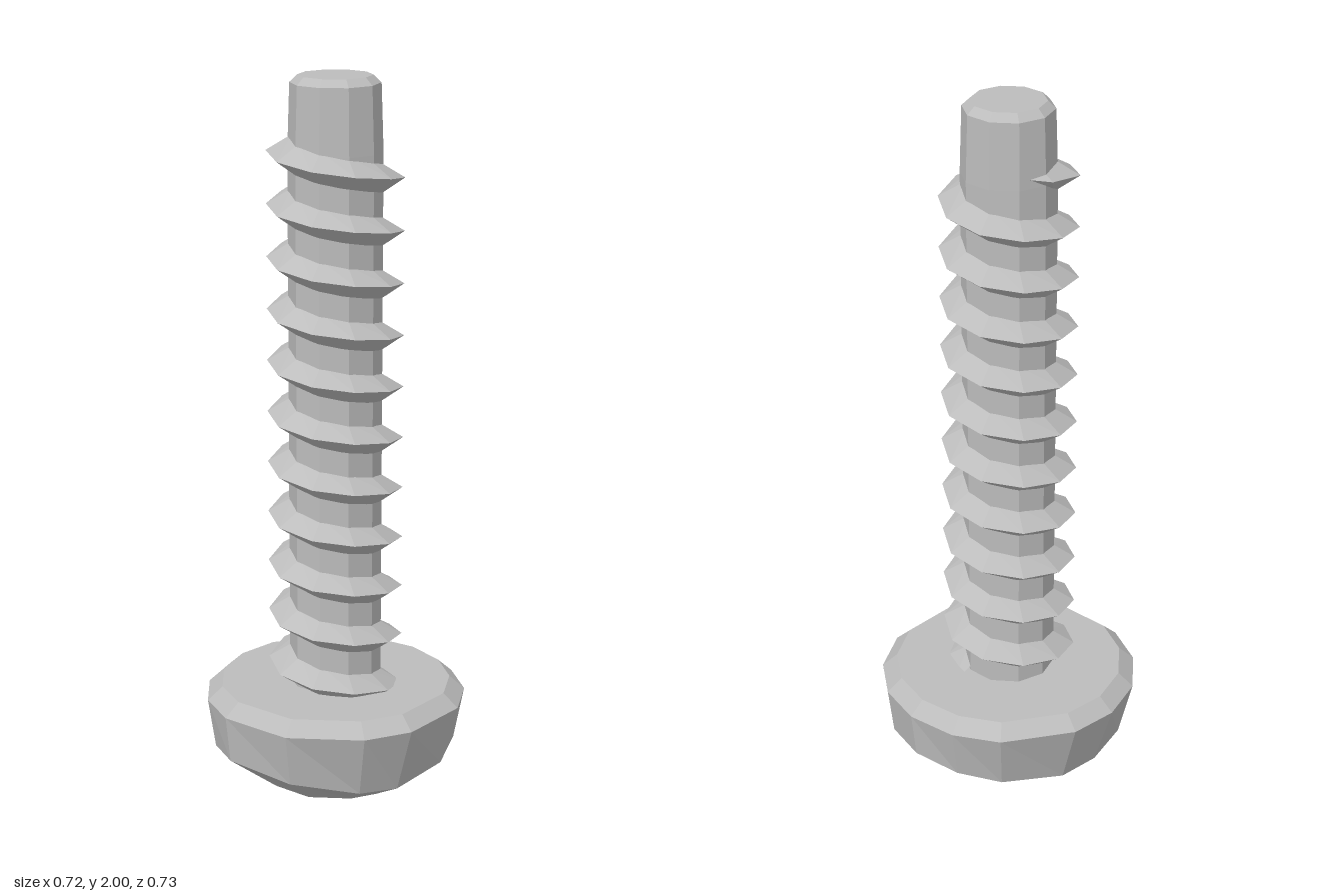
import * as THREE from 'three';

const steel = new THREE.MeshStandardMaterial({ color: 0xbcbcbc, flatShading: true });
steel.name = 'steel grey';

const polar = (a, r, y) => [r * Math.cos(a), y, r * Math.sin(a)];

// Skin between rows of points; descending rows face outward, rising rows inward
function loft(rows, closed = true) {
  const n = rows[0].length, index = [];
  for (let i = 0; i < rows.length - 1; i++) {
    for (let k = 0; k < (closed ? n : n - 1); k++) {
      const a = i * n + k, b = i * n + (k + 1) % n;
      index.push(a, b, a + n, b, b + n, a + n);
    }
  }
  const g = new THREE.BufferGeometry();
  g.setAttribute('position', new THREE.Float32BufferAttribute(rows.flat(2), 3));
  g.setIndex(index);
  const flat = g.toNonIndexed();
  flat.computeVertexNormals();
  return flat;
}

// Downward-facing plate: shape (x, y) becomes (x, z), height given by a rule on radius
function plate(shape, height) {
  const g = new THREE.ShapeGeometry(shape).toNonIndexed();
  const p = g.attributes.position;
  for (let i = 0; i < p.count; i++) {
    const x = p.getX(i), z = p.getY(i);
    p.setXYZ(i, x, height(Math.hypot(x, z)), z);
  }
  g.computeVertexNormals();
  return g;
}

// Twelve corners of a cross with given arm reach and half width
function cross(reach, w) {
  const pts = [];
  for (let q = 0; q < 4; q++) {
    const c = Math.round(Math.cos(q * Math.PI / 2)), s = Math.round(Math.sin(q * Math.PI / 2));
    for (const [u, v] of [[reach, -w], [reach, w], [w, w]]) {
      pts.push(new THREE.Vector2(u * c - v * s, u * s + v * c));
    }
  }
  return pts;
}

export function createModel() {
  const screw = new THREE.Group();
  screw.name = 'screw';
  const add = (name, geometry) => {
    const mesh = new THREE.Mesh(geometry, steel);
    mesh.name = name;
    screw.add(mesh);
  };

  // Pan head: flat top, bevel, flank and dome, with an uneven faceted outline
  const angles = [11, 33, 56, 90, 112, 146, 180, 202, 225, 248, 270, 304, 326, 349]
    .map(d => d * Math.PI / 180);
  const ring = (r, y) => angles.map(a => polar(a, r, y));
  const flank = angles.map(a => {
    const c = Math.cos(2 * a);
    return polar(a, 0.325 + 0.025 * c, 0.11 + 0.03 * c);
  });
  add('head', loft([ring(0, 0.308), ring(0.322, 0.308), ring(0.364, 0.27), flank, ring(0.2, 0.025)]));

  // Bottom of the dome, pierced by the cross recess
  const dome = r => Math.max(0, 0.025 * (r * r - 0.006) / 0.034);
  const mouth = cross(0.165, 0.055), floor = cross(0.07, 0.035);
  const capShape = new THREE.Shape(angles.map(a => new THREE.Vector2(0.2 * Math.cos(a), 0.2 * Math.sin(a))));
  capShape.holes.push(new THREE.Path(mouth));
  add('headDome', plate(capShape, dome));

  // Tapered recess walls and floor
  const depth = 0.16;
  add('recessWalls', loft([
    mouth.map(p => [p.x, dome(p.length()), p.y]),
    floor.map(p => [p.x, depth, p.y]),
  ]));
  add('recessFloor', plate(new THREE.Shape(floor), () => depth));

  // Shank with a chamfered tip
  const sides = 10;
  const shankRing = (r, y) => Array.from({ length: sides }, (_, k) => polar(k / sides * Math.PI * 2, r, y));
  add('shank', loft([shankRing(0, 2), shankRing(0.1, 2), shankRing(0.121, 1.98),
    shankRing(0.127, 1.8), shankRing(0.127, 0.3)]));

  // Helical thread with a V profile, fading into the shank at its upper end
  const perTurn = 10, pitch = 0.143, first = -10, last = 0.8;
  const top = [], crest = [], bottom = [];
  const steps = Math.round((last - first) * perTurn);
  for (let i = 0; i <= steps; i++) {
    const turn = first + i / perTurn, a = turn * Math.PI * 2;
    const y = 1.715 + turn * pitch;
    const f = Math.min(1, (last - turn) / 0.2);
    top.push(polar(a, 0.115, y + 0.042 * f));
    crest.push(polar(a, 0.115 + 0.07 * f, y));
    bottom.push(polar(a, 0.115, y - 0.048 * f));
  }
  add('thread', loft([top, crest, bottom], false));

  return screw;
}
